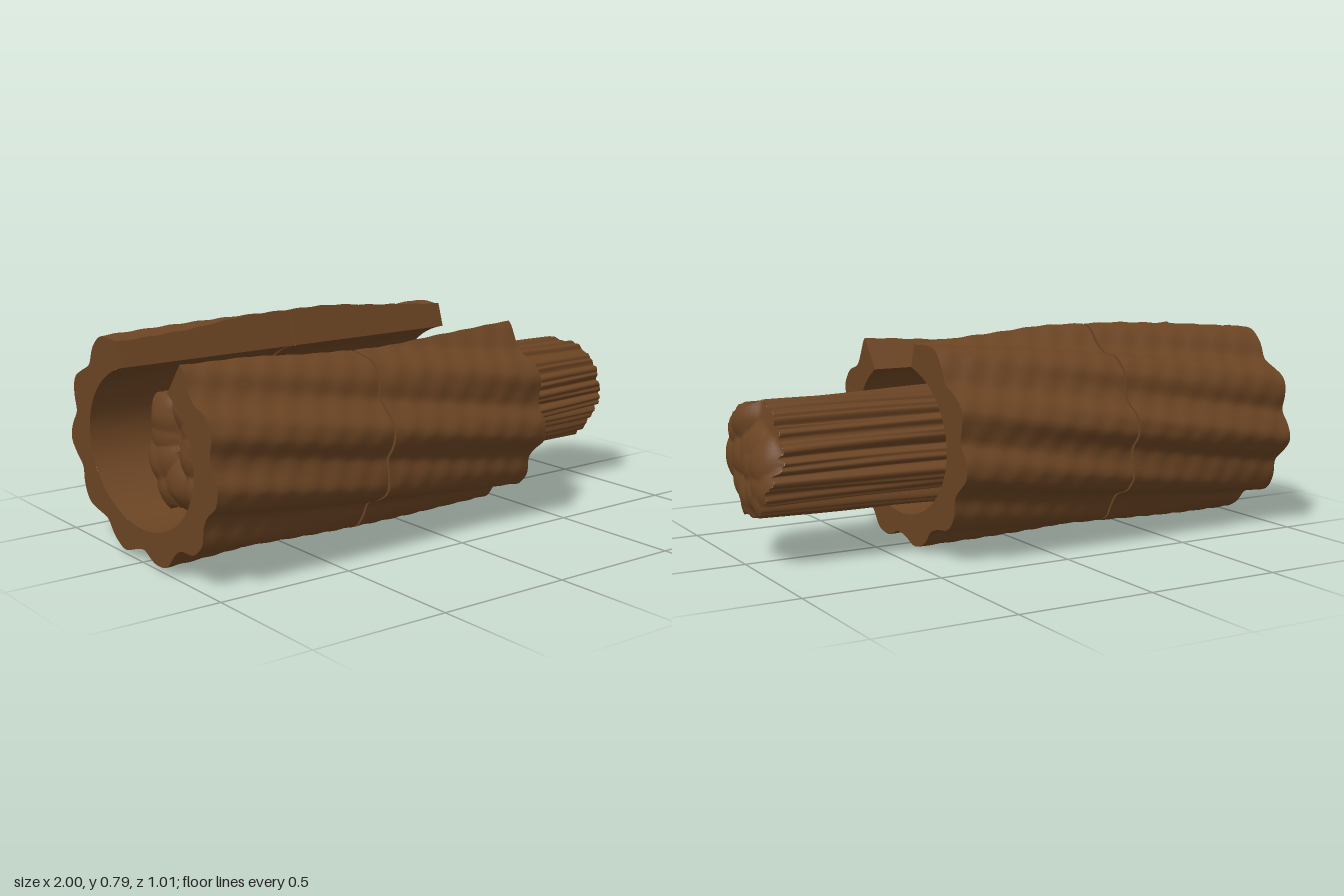
import * as THREE from 'three';
import { mergeGeometries } from 'three/addons/utils/BufferGeometryUtils.js';

const rad = THREE.MathUtils.degToRad;
const lerp = THREE.MathUtils.lerp;

// Smooth patch from f(u, v) with u, v in 0..1; it faces du x dv.
function patch(nu, nv, f) {
  const pos = [], idx = [];
  for (let i = 0; i <= nu; i++)
    for (let j = 0; j <= nv; j++) pos.push(...f(i / nu, j / nv));
  const w = nv + 1;
  for (let i = 0; i < nu; i++)
    for (let j = 0; j < nv; j++) {
      const a = i * w + j, b = a + w;
      idx.push(a, b, b + 1, a, b + 1, a + 1);
    }
  const g = new THREE.BufferGeometry();
  g.setAttribute('position', new THREE.Float32BufferAttribute(pos, 3));
  g.setIndex(idx);
  g.computeVertexNormals();
  return g;
}

// Shell: an open oval tube whose eleven outer flutes twist along its length.
const T0 = rad(105.2), T1 = rad(415.5), AXIS_Y = 0.39;
function shellPoint(x, t, s) {
  const groove = t + Math.PI / 2 - (0.4 - x) * rad(23);
  const wave = 0.5 + 0.5 * Math.cos(11 * groove);
  const knobs = 0.003 * Math.sin(38 * x + 9 * t) * Math.sin(21 * x - 23 * t);
  const cut = 0.042 * Math.pow(wave, 1.2) - knobs;
  const rise = Math.sin(t) > 0 ? 0.39 + 0.018 * Math.sin(t) : 0.39;
  const rz = lerp(0.355, 0.502 - cut, s), ry = lerp(0.275, rise - cut, s);
  return [x, AXIS_Y + ry * Math.sin(t), rz * Math.cos(t)];
}

function shellGeometry(x0, x1) {
  const X = (k) => lerp(x0, x1, k), T = (k) => lerp(T0, T1, k);
  return mergeGeometries([
    patch(40, 220, (u, v) => shellPoint(X(u), T(v), 1)),
    patch(120, 4, (u, v) => shellPoint(X(v), T(u), 0)),
    patch(220, 1, (u, v) => shellPoint(x1, T(u), v)),
    patch(1, 220, (u, v) => shellPoint(x0, T(v), u)),
    patch(1, 40, (u, v) => shellPoint(X(v), T1, u)),
    patch(40, 1, (u, v) => shellPoint(X(u), T0, v)),
  ]);
}

// Core: a ribbed trunk whose root lobes [angle, height, width] swell toward -x.
const LOBES = [[11, 0.085, 9], [-10, 0.085, 9], [76, 0.02, 10], [153, 0.075, 12],
  [182, 0.05, 9], [197, 0.09, 9], [238, 0.05, 12], [-50, 0.06, 11], [-75, 0.02, 14]];
const CORE_Y = 0.36;

function coreRadius(x, t) {
  const flare = (1 - x) / 1.88;
  let r = 0.205 + 0.016 * flare;
  for (const [a, h, w] of LOBES) {
    const d = Math.atan2(Math.sin(t - rad(a)), Math.cos(t - rad(a))) / rad(w);
    r += h * flare * Math.exp(-d * d * d * d);
  }
  const warp = t + 0.04 * Math.sin(3 * x + 2 * t);
  r -= 0.016 * Math.pow(Math.abs(Math.cos(8.5 * (warp + 0.15 * Math.sin(2 * t)))), 6);
  r -= 0.008 * Math.pow(Math.abs(Math.cos(21 * warp + Math.sin(3 * t))), 4);
  return r + 0.003 * Math.sin(6 * x + 5 * t) + 0.003 * Math.sin(4 * t);
}

// Seeded cell centres make the broken, lumpy end faces.
function cells(seed, count) {
  const rnd = () => (seed = (seed * 16807) % 2147483647) / 2147483647;
  return Array.from({ length: count }, () => {
    const a = rnd() * Math.PI * 2, r = 0.22 * Math.sqrt(rnd());
    return [r * Math.cos(a), r * Math.sin(a), rnd() * 0.012];
  });
}

function endDepth(list, t, r) {
  const z = r * Math.cos(t), y = r * Math.sin(t);
  let best = 1;
  for (const [cz, cy, h] of list)
    best = Math.min(best, h + 4 * ((z - cz) ** 2 + (y - cy) ** 2));
  return Math.min(best, 0.06) + 0.4 * Math.max(0, r - 0.15) ** 1.2;
}

function coreGeometry() {
  const front = cells(77, 18), back = cells(4211, 18);
  const at = (x, t, r) => [x, CORE_Y + r * Math.sin(t), r * Math.cos(t)];
  const T = (k) => k * Math.PI * 2;
  const endPoint = (end, list, dir) => (t, s) => {
    const r = s * coreRadius(end, t);
    return at(end - dir * endDepth(list, t, r), t, r);
  };
  const frontEnd = endPoint(1, front, 1), backEnd = endPoint(-0.88, back, -1);
  return mergeGeometries([
    patch(40, 360, (u, v) => {
      const t = T(v), x = lerp(backEnd(t, 1)[0], frontEnd(t, 1)[0], u);
      return at(x, t, coreRadius(lerp(-0.88, 1, u), t));
    }),
    patch(180, 18, (u, v) => frontEnd(T(u), v)),
    patch(18, 180, (u, v) => backEnd(T(v), u)),
  ]);
}

export function createModel() {
  const bark = new THREE.MeshStandardMaterial({ color: 0x6b4423 });
  bark.name = 'barkBrown';
  const model = new THREE.Group();
  model.name = 'barkLog';
  const add = (name, geometry) => {
    const mesh = new THREE.Mesh(geometry, bark);
    mesh.name = name;
    model.add(mesh);
  };
  // Two shell lengths with a narrow seam between them
  add('rightShell', shellGeometry(-1, -0.305));
  add('leftShell', shellGeometry(-0.295, 0.4));
  add('core', coreGeometry());
  return model;
}
